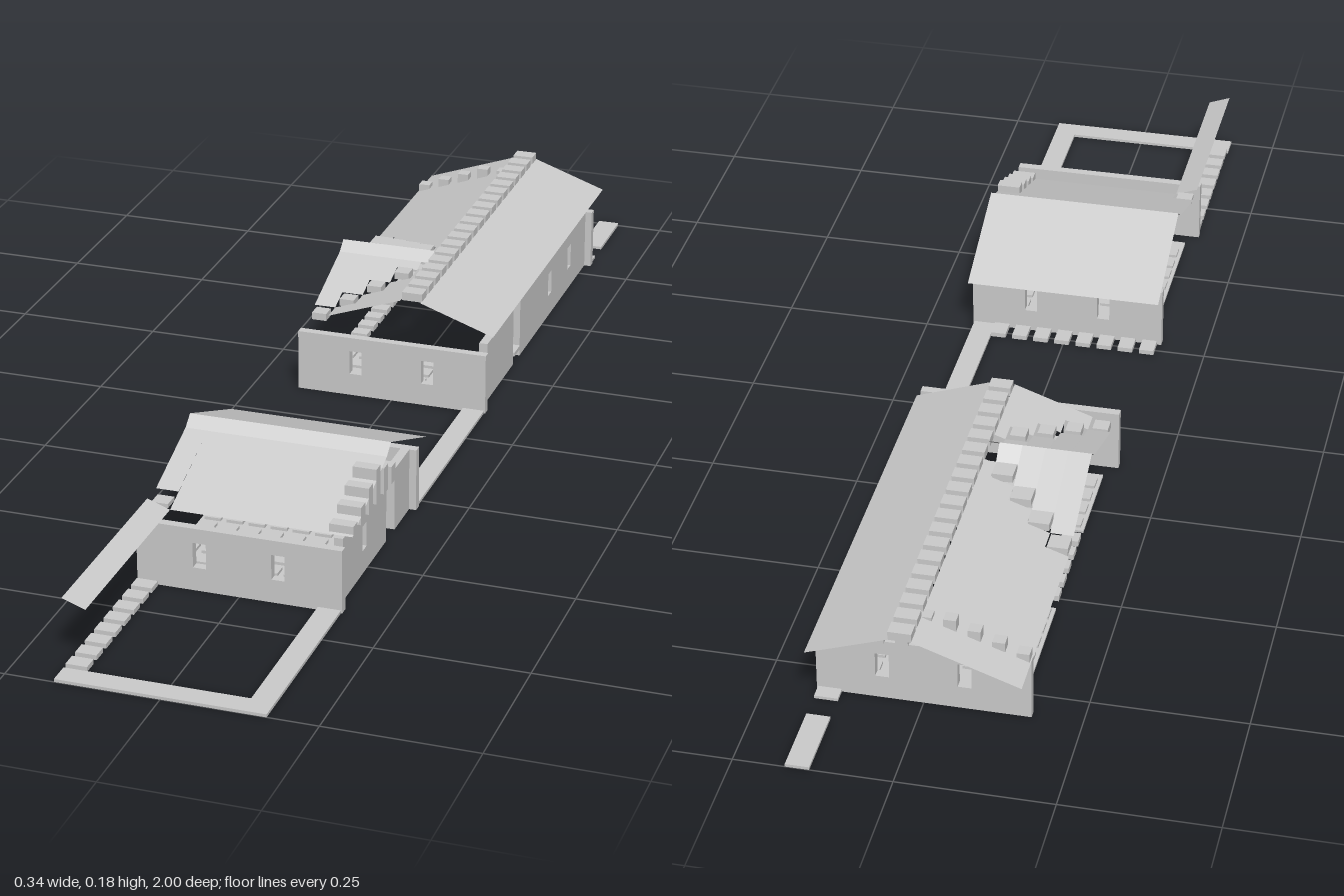
import * as THREE from 'three';

export function createModel() {
  const root = new THREE.Group();
  root.name = 'courtyardBuildings';
  const stone = new THREE.MeshStandardMaterial({ color: 0xcccccc, side: THREE.DoubleSide });
  stone.name = 'pale grey';
  const M = 0.038;      // plan module
  const RISE = 0.0152;  // height step of the gable posts
  const EAVE = 0.108;

  const add = (name, geo, parent = root) => {
    const m = new THREE.Mesh(geo, stone);
    m.name = name;
    parent.add(m);
    return m;
  };
  const group = (name) => {
    const g = new THREE.Group();
    g.name = name;
    root.add(g);
    return g;
  };
  // Box given by its limits on each axis
  const box = (name, x0, x1, y0, y1, z0, z1, parent) => {
    const g = new THREE.BoxGeometry(x1 - x0, y1 - y0, z1 - z0);
    g.translate((x0 + x1) / 2, (y0 + y1) / 2, (z0 + z1) / 2);
    return add(name, g, parent);
  };
  // Thin flat panel, corners counter-clockwise seen from above
  const panel = (name, corners, parent) => {
    const g = new THREE.BufferGeometry();
    g.setAttribute('position', new THREE.Float32BufferAttribute(corners.flat(), 3));
    g.setIndex([0, 1, 2, 0, 2, 3]);
    g.computeVertexNormals();
    return add(name, g, parent);
  };
  // Roof sloping along x, and roof sloping along z
  const slopeX = (name, x0, y0, x1, y1, z0, z1, parent) =>
    panel(name, [[x0, y0, z0], [x0, y0, z1], [x1, y1, z1], [x1, y1, z0]], parent);
  const slopeZ = (name, z0, y0, z1, y1, x0, x1, parent) =>
    panel(name, [[x0, y0, z0], [x0, y1, z1], [x1, y1, z1], [x1, y0, z0]], parent);
  // Wall with window openings, drawn along u and 0.015 thick
  const wallGeo = (u0, u1, windows) => {
    const s = new THREE.Shape();
    s.moveTo(u0, 0).lineTo(u1, 0).lineTo(u1, EAVE).lineTo(u0, EAVE).closePath();
    for (const w of windows) {
      const h = new THREE.Path();
      h.moveTo(w - 0.011, 0.04).lineTo(w - 0.011, 0.083).lineTo(w + 0.011, 0.083).lineTo(w + 0.011, 0.04).closePath();
      s.holes.push(h);
    }
    return new THREE.ExtrudeGeometry(s, { depth: 0.015, bevelEnabled: false });
  };
  const endWall = (name, z, parent) =>
    add(name, wallGeo(-0.17, 0.17, [-0.065, 0.065]), parent).position.z = z;
  const sideWall = (name, z0, z1, windows, parent) => {
    const m = add(name, wallGeo(-z1, -z0, windows.map((w) => -w)), parent);
    m.rotation.y = Math.PI / 2;
    m.position.x = 0.143;
  };
  // Floor slab with a grid of raised tiles
  const floor = (z0, z1, parent) => {
    box('floorSlab', -0.15, 0.13, 0, 0.004, z0, z1, parent);
    for (let x = -0.13; x < 0.11; x += M)
      for (let z = z0 + 0.02; z < z1 - 0.01; z += M)
        box('floorTile', x - 0.014, x + 0.014, 0.004, 0.009, z - 0.012, z + 0.012, parent);
  };

  // Ground paths
  const paths = group('paths');
  const strips = [
    [0.13, 0.168, -1, -0.875], [0.13, 0.168, -0.83, -0.805], [0.13, 0.168, -0.11, 0.27],
    [0.13, 0.168, 0.66, 1], [-0.17, 0.13, 0.962, 1],
  ];
  for (const [x0, x1, z0, z1] of strips) box('path', x0, x1, 0, 0.005, z0, z1, paths);
  for (let i = 0; i < 8; i++) {
    const z = 0.68 + i * M, x = -0.15 + i * M;
    box('courtyardStone', -0.168, -0.133, 0.002, 0.01, z - 0.013, z + 0.013, paths);
    box('rearStone', x - 0.013, x + 0.013, 0.002, 0.01, 0.232, 0.266, paths);
  }

  // Front house
  const front = group('frontHouse');
  endWall('frontWall', 0.645, front);
  endWall('rearWall', 0.27, front);
  sideWall('sideWall', 0.405, 0.62, [0.515], front);
  sideWall('sideWallShort', 0.285, 0.362, [], front);
  floor(0.285, 0.615, front);
  slopeZ('rearRoof', 0.23, EAVE, 0.418, 0.184, -0.17, 0.17, front);
  slopeZ('ridgeBand', 0.418, 0.184, 0.439, 0.168, -0.17, 0.17, front);
  slopeZ('frontRoof', 0.439, 0.168, 0.61, EAVE, -0.132, 0.17, front);
  slopeZ('frontRoofCorner', 0.439, 0.168, 0.572, 0.122, -0.17, -0.132, front);
  box('cornerTile', -0.165, -0.137, EAVE, 0.115, 0.578, 0.606, front);
  // Covered walk roof beside the courtyard
  slopeX('walkRoof', -0.17, 0.122, -0.132, EAVE, 0.61, 0.96, front);
  // Stepped gable posts
  [0.595, 0.557, 0.519, 0.481, 0.443, 0.405].forEach((z, i) => {
    const top = EAVE + RISE * (i < 4 ? i + 1 : 7 - i);
    box('gablePost', 0.13, 0.17, EAVE, top, z - 0.01, z + 0.01, front);
  });

  // Back house walls and floors
  const back = group('backHouse');
  endWall('frontWall', -0.12, back);
  endWall('rearWall', -0.805, back);
  sideWall('sideWallShort', -0.315, -0.155, [], back);
  sideWall('sideWall', -0.79, -0.357, [-0.55, -0.68], back);
  floor(-0.315, -0.15, back);
  floor(-0.76, -0.53, back);
  for (let i = 0; i < 5; i++) {
    const z = -0.345 - i * M;
    box('doorStone', -0.15, -0.12, 0.002, 0.012, z - 0.012, z + 0.012, back);
  }
  box('doorStep', 0.125, 0.16, 0.015, 0.022, -0.352, -0.318, back);

  // Back house roof: long gable with a cross wing on the right-hand side
  slopeX('longRoof', 0.036, 0.168, 0.168, 0.122, -0.875, -0.155, back);
  const roofY = (x) => EAVE + (x + 0.17) * 0.353;
  for (let i = 0; i < 5; i++) {
    const x0 = -0.17 + i * M, x1 = Math.min(0, x0 + M);
    const north = -0.53 + i * M, south = -0.155 - i * M;
    slopeX('wingSideRoof', x0, roofY(x0), x1, roofY(x1), -0.875, north, back);
    if (i > 0) slopeX('wingFrontRoof', x0, roofY(x0), x1, roofY(x1), south, -0.155, back);
    // cross wing strips between the stepped valleys
    const n1 = Math.min(-0.35, north + M), s1 = Math.max(-0.33, south - M);
    if (n1 < -0.35) slopeZ('crossRoofRear', n1, roofY(x1), -0.35, 0.184, x0, x1, back);
    if (s1 > -0.33) slopeZ('crossRoofFront', -0.33, 0.168, s1, roofY(x1), x0, x1, back);
    if (i < 4) {
      const y = EAVE + RISE * i;
      box('valleyTileRear', x0 + 0.002, x1 - 0.002, y, y + 0.013, north + 0.002, n1 - 0.002, back);
      box('valleyTileFront', x0 + 0.006, x1 - 0.006, y, y + 0.013, s1 + 0.006, south - 0.006, back);
    }
  }
  slopeZ('crossRidgeBand', -0.35, 0.184, -0.33, 0.168, -0.17, 0, back);
  // Ridge tiles
  for (let i = 0; i < 19; i++) {
    const z = -0.86 + i * M;
    box('ridgeTile', 0, 0.037, 0.166, 0.181, z - 0.013, z + 0.013, back);
  }
  // Rear gable posts
  for (let i = 0; i < 8; i++) {
    const x = -0.158 + i * M;
    const top = EAVE + RISE * (i < 4 ? i + 1 : 8 - i);
    box('gablePost', x - 0.01, x + 0.01, EAVE, top, -0.81, -0.79, back);
  }
  return root;
}
